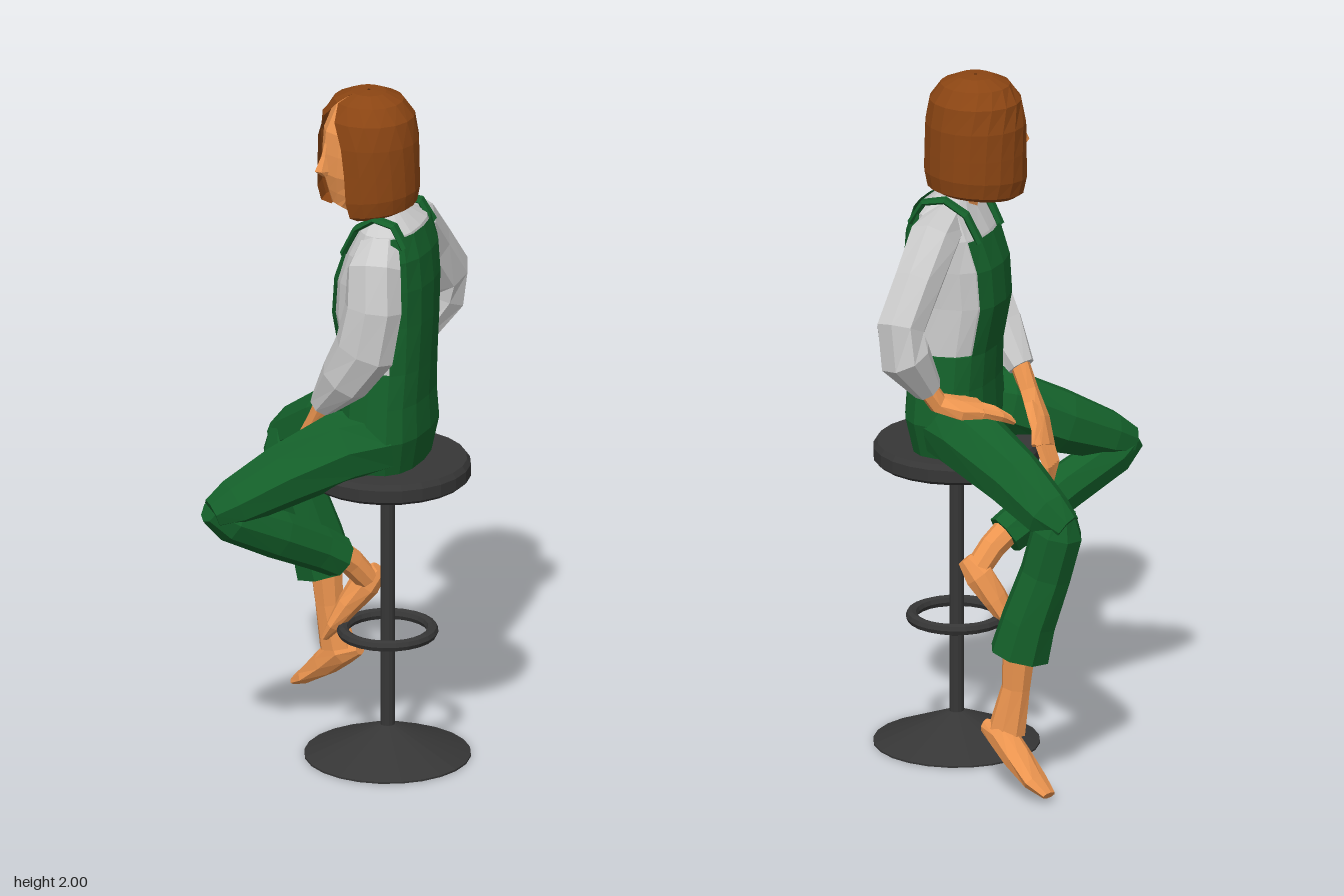
import * as THREE from 'three';

const V = (x, y, z) => new THREE.Vector3(x, y, z);
const mat = (color, side = THREE.FrontSide) =>
  new THREE.MeshStandardMaterial({ color, flatShading: true, side });
const SKIN = mat(0xee9650), GREEN = mat(0x14602a), SHIRT = mat(0xcccccc);
const HAIR = mat(0x8b4513, THREE.DoubleSide), DARK = mat(0x363636);
const PANEL = mat(0x14602a, THREE.DoubleSide);

// Surface through rows of points; closed wraps each row and caps both ends.
function skin(rows, closed) {
  const n = rows[0].length, pos = [], idx = [];
  rows.forEach(r => r.forEach(p => pos.push(p.x, p.y, p.z)));
  for (let i = 0; i < rows.length - 1; i++) {
    for (let j = 0; j < (closed ? n : n - 1); j++) {
      const k = (j + 1) % n, a = i * n + j, b = i * n + k;
      idx.push(a, b, b + n, a, b + n, a + n);
    }
  }
  if (closed) {
    [0, rows.length - 1].forEach((r, end) => {
      const c = V(0, 0, 0);
      rows[r].forEach(p => c.addScaledVector(p, 1 / n));
      const ci = pos.length / 3;
      pos.push(c.x, c.y, c.z);
      for (let j = 0; j < n; j++) {
        const a = r * n + j, b = r * n + (j + 1) % n;
        end ? idx.push(ci, a, b) : idx.push(ci, b, a);
      }
    });
  }
  const g = new THREE.BufferGeometry();
  g.setAttribute('position', new THREE.Float32BufferAttribute(pos, 3));
  g.setIndex(idx);
  g.computeVertexNormals();
  return g;
}

// Elliptical sections [x, y, z, a, b]: a lies along ref, b across it.
function loft(secs, sides = 8, ref = V(0, 0, 1)) {
  const c = secs.map(s => V(s[0], s[1], s[2]));
  const rows = secs.map((s, i) => {
    const t = c[Math.min(i + 1, c.length - 1)].clone().sub(c[Math.max(i - 1, 0)]).normalize();
    const u = ref.clone().addScaledVector(t, -ref.dot(t)).normalize();
    const v = t.clone().cross(u);
    return Array.from({ length: sides }, (_, j) => {
      const q = j / sides * Math.PI * 2;
      return c[i].clone().addScaledVector(u, s[3] * Math.cos(q))
        .addScaledVector(v, (s[4] ?? s[3]) * Math.sin(q));
    });
  });
  return skin(rows, true);
}

// Squarish torso section point; step counts sixteenths round from the left side.
function torsoPoint([y, cx, rx, rz], step, grow = 0) {
  const q = step / 16 * Math.PI * 2, f = w => Math.sign(w) * Math.abs(w) ** 0.8;
  return V(cx + (rx + grow) * f(Math.sin(q)), y, -0.012 + (rz + grow) * f(Math.cos(q)));
}
const torsoRows = (rows, from, to, grow) => rows.map(r =>
  Array.from({ length: to - from + 1 }, (_, k) => torsoPoint(r, from + k, grow)));

export function createModel() {
  const model = new THREE.Group();
  const add = (name, geo, material, x = 0, y = 0, z = 0) => {
    const m = new THREE.Mesh(geo, material);
    m.name = name;
    m.position.set(x, y, z);
    model.add(m);
    return m;
  };

  // Bar stool
  const sx = 0.125, lathe = pts => new THREE.LatheGeometry(pts.map(p => new THREE.Vector2(...p)), 24);
  add('stoolSeat', lathe([[0, 0.84], [0.225, 0.84], [0.236, 0.85], [0.236, 0.885], [0.225, 0.9], [0, 0.9]]), DARK, sx);
  add('stoolPole', new THREE.CylinderGeometry(0.021, 0.021, 0.78, 12), DARK, sx, 0.46);
  add('stoolBase', lathe([[0, 0], [0.236, 0], [0.236, 0.005], [0.024, 0.092], [0, 0.092]]), DARK, sx);
  add('stoolFootRing', new THREE.TorusGeometry(0.127, 0.017, 8, 24), DARK, sx, 0.375).rotation.x = Math.PI / 2;

  // Torso: shirt, trousers top, back panel and bib share one set of sections
  const torso = [
    [0.9, 0.12, 0.1, 0.16], [1.0, 0.125, 0.115, 0.185], [1.1, 0.125, 0.11, 0.17],
    [1.2, 0.125, 0.115, 0.155], [1.34, 0.115, 0.133, 0.15], [1.45, 0.12, 0.13, 0.155],
    [1.54, 0.132, 0.11, 0.158], [1.61, 0.14, 0.08, 0.14], [1.65, 0.125, 0.045, 0.07]];
  add('shirt', skin(torsoRows(torso.slice(2), 0, 15, 0), true), SHIRT);
  add('trousersTop', skin(torsoRows(torso.slice(0, 4), 0, 15, 0.01), true), GREEN);
  add('overallBack', skin(torsoRows(torso.slice(3, 8), 1, 7, 0.01), false), PANEL);
  add('overallBib', skin(torsoRows(torso.slice(3, 7), 10, 14, 0.01), false), PANEL);
  for (const s of [-1, 1]) {
    const z = d => -0.012 + s * d;
    add(s > 0 ? 'leftStrap' : 'rightStrap', loft([
      [0.215, 1.58, z(0.115), 0.025, 0.01], [0.18, 1.64, z(0.11), 0.022, 0.01],
      [0.12, 1.65, z(0.1), 0.02, 0.01], [0.06, 1.61, z(0.09), 0.02, 0.01],
      [0.02, 1.53, z(0.085), 0.02, 0.01]], 6), GREEN);
  }

  // Trouser legs
  add('rightThigh', loft([
    [0.14, 0.99, -0.1, 0.09, 0.1], [0.03, 0.97, -0.165, 0.1, 0.105], [-0.14, 0.89, -0.245, 0.085, 0.09],
    [-0.26, 0.82, -0.305, 0.072, 0.072], [-0.32, 0.785, -0.315, 0.05, 0.045]]), GREEN);
  add('rightShin', loft([
    [-0.3, 0.83, -0.305, 0.05, 0.04], [-0.285, 0.77, -0.3, 0.075, 0.075], [-0.25, 0.64, -0.3, 0.075, 0.075],
    [-0.205, 0.5, -0.315, 0.085, 0.08], [-0.18, 0.4, -0.32, 0.092, 0.087]]), GREEN);
  add('leftThigh', loft([
    [0.14, 0.99, 0.08, 0.1, 0.1], [0.04, 0.97, 0.15, 0.115, 0.105], [-0.1, 0.9, 0.25, 0.1, 0.09],
    [-0.21, 0.84, 0.345, 0.075, 0.07], [-0.26, 0.815, 0.385, 0.05, 0.045]]), GREEN);
  add('leftShin', loft([
    [-0.265, 0.83, 0.39, 0.04, 0.04], [-0.22, 0.79, 0.345, 0.065, 0.065], [-0.12, 0.715, 0.23, 0.07, 0.065],
    [-0.04, 0.645, 0.12, 0.065, 0.065], [0.005, 0.605, 0.07, 0.06, 0.065]], 8, V(0, 1, 0)), GREEN);

  // Bare ankles and feet
  add('rightAnkle', loft([
    [-0.18, 0.43, -0.325, 0.045, 0.05], [-0.17, 0.3, -0.325, 0.038, 0.042], [-0.145, 0.17, -0.33, 0.042, 0.055]]), SKIN);
  add('rightFoot', loft([
    [-0.075, 0.175, -0.32, 0.02, 0.02], [-0.13, 0.16, -0.335, 0.042, 0.045], [-0.19, 0.105, -0.365, 0.048, 0.04],
    [-0.255, 0.05, -0.395, 0.052, 0.025], [-0.3, 0.02, -0.41, 0.03, 0.012]]), SKIN);
  add('leftAnkle', loft([
    [-0.01, 0.63, 0.08, 0.04, 0.045], [0.03, 0.58, 0.035, 0.038, 0.04], [0.06, 0.525, 0, 0.035, 0.04]], 8, V(0, 1, 0)), SKIN);
  add('leftFoot', loft([
    [0.095, 0.55, -0.015, 0.02, 0.025], [0.055, 0.505, -0.01, 0.04, 0.045], [0.01, 0.44, 0, 0.045, 0.035],
    [-0.03, 0.375, 0.012, 0.045, 0.022], [-0.055, 0.335, 0.02, 0.025, 0.01]]), SKIN);

  // Sleeves
  add('rightSleeve', loft([
    [0.125, 1.57, -0.1, 0.06, 0.07], [0.13, 1.55, -0.185, 0.075, 0.075], [0.145, 1.45, -0.27, 0.07, 0.08],
    [0.165, 1.34, -0.355, 0.07, 0.085], [0.15, 1.26, -0.36, 0.075, 0.08], [0.105, 1.15, -0.295, 0.042, 0.045]], 8, V(1, 0, 0)), SHIRT);
  add('leftSleeve', loft([
    [0.135, 1.58, 0.1, 0.04, 0.06], [0.145, 1.53, 0.165, 0.07, 0.08], [0.15, 1.42, 0.185, 0.068, 0.085],
    [0.125, 1.29, 0.19, 0.065, 0.09], [0.06, 1.19, 0.175, 0.06, 0.075], [-0.02, 1.09, 0.135, 0.04, 0.04]]), SHIRT);

  // Hands: palm, four fingers and a thumb
  add('rightPalm', loft([
    [0.115, 1.17, -0.305, 0.03, 0.03], [0.08, 1.105, -0.28, 0.035, 0.03], [0.03, 1.085, -0.25, 0.055, 0.03],
    [-0.02, 1.075, -0.205, 0.055, 0.022]], 7), SKIN);
  add('leftPalm', loft([
    [-0.005, 1.12, 0.14, 0.028, 0.03], [-0.05, 1.03, 0.115, 0.032, 0.026], [-0.09, 0.96, 0.085, 0.048, 0.026],
    [-0.12, 0.89, 0.06, 0.048, 0.02]], 7), SKIN);
  for (let i = 0; i < 4; i++) {
    const k = i - 1.5;
    add('rightFinger', loft([
      [-0.01 + k * 0.02, 1.075, -0.21 + k * 0.022, 0.014], [-0.06 + k * 0.014, 1.055, -0.175 + k * 0.016, 0.014],
      [-0.095 + k * 0.008, 1.03, -0.145 + k * 0.012, 0.007]], 5), SKIN);
    add('leftFinger', loft([
      [-0.115, 0.9, 0.06 + k * 0.022, 0.014], [-0.14, 0.84, 0.05 + k * 0.02, 0.014],
      [-0.135, 0.785, 0.045 + k * 0.017, 0.007]], 5), SKIN);
  }
  add('rightThumb', loft([[0.06, 1.1, -0.25, 0.02], [0.03, 1.09, -0.2, 0.016], [0.01, 1.08, -0.165, 0.008]], 5, V(0, 1, 0)), SKIN);
  add('leftThumb', loft([[-0.07, 1.0, 0.08, 0.02], [-0.11, 0.96, 0.015, 0.016], [-0.12, 0.92, -0.035, 0.008]], 5, V(0, 1, 0)), SKIN);

  // Neck and head, turned towards the left shoulder
  const dx = -0.68, dz = 0.733, ahead = (d, y, a, b) => [0.06 + dx * d, y, -0.005 + dz * d, a, b];
  const face = V(dx, 0, dz);
  add('neck', loft([[0.115, 1.6, -0.01, 0.06, 0.055], [0.095, 1.67, -0.01, 0.045, 0.045], [0.06, 1.76, 0.01, 0.045, 0.045]]), SKIN);
  add('head', loft([
    ahead(0.085, 1.665, 0.025, 0.025), ahead(0.065, 1.695, 0.06, 0.048), ahead(0.045, 1.75, 0.092, 0.072),
    ahead(0.035, 1.82, 0.1, 0.082), ahead(0.03, 1.88, 0.1, 0.083), ahead(0.015, 1.94, 0.085, 0.075),
    ahead(0, 1.97, 0.04, 0.04)], 10, face), SKIN);
  add('nose', loft([
    ahead(0.132, 1.765, 0.008, 0.012), ahead(0.138, 1.78, 0.026, 0.018), ahead(0.13, 1.82, 0.014, 0.011),
    ahead(0.125, 1.86, 0.008, 0.007)], 6, face), SKIN);

  // Bobbed hair: shell of [y, radius, half-angle open at the face]
  const front = Math.atan2(dz, dx);
  const hairRows = [[2.0, 0.005, 0], [1.997, 0.05, 0], [1.975, 0.1, 0.02], [1.93, 0.132, 0.25], [1.86, 0.144, 0.5],
    [1.78, 0.146, 0.58], [1.7, 0.147, 0.62], [1.655, 0.138, 0.68], [1.64, 0.112, 0.8]].map(([y, r, gap]) =>
    Array.from({ length: 17 }, (_, j) => {
      const s = j / 16, q = front + gap + s * 2 * (Math.PI - gap);
      const nape = Math.sin(s * Math.PI) * (y < 1.72 ? 0.02 : 0);
      return V(0.065 + r * Math.cos(q), y + nape, -0.01 + r * Math.sin(q) * 0.95);
    }));
  add('hair', skin(hairRows, false), HAIR);

  return model;
}
